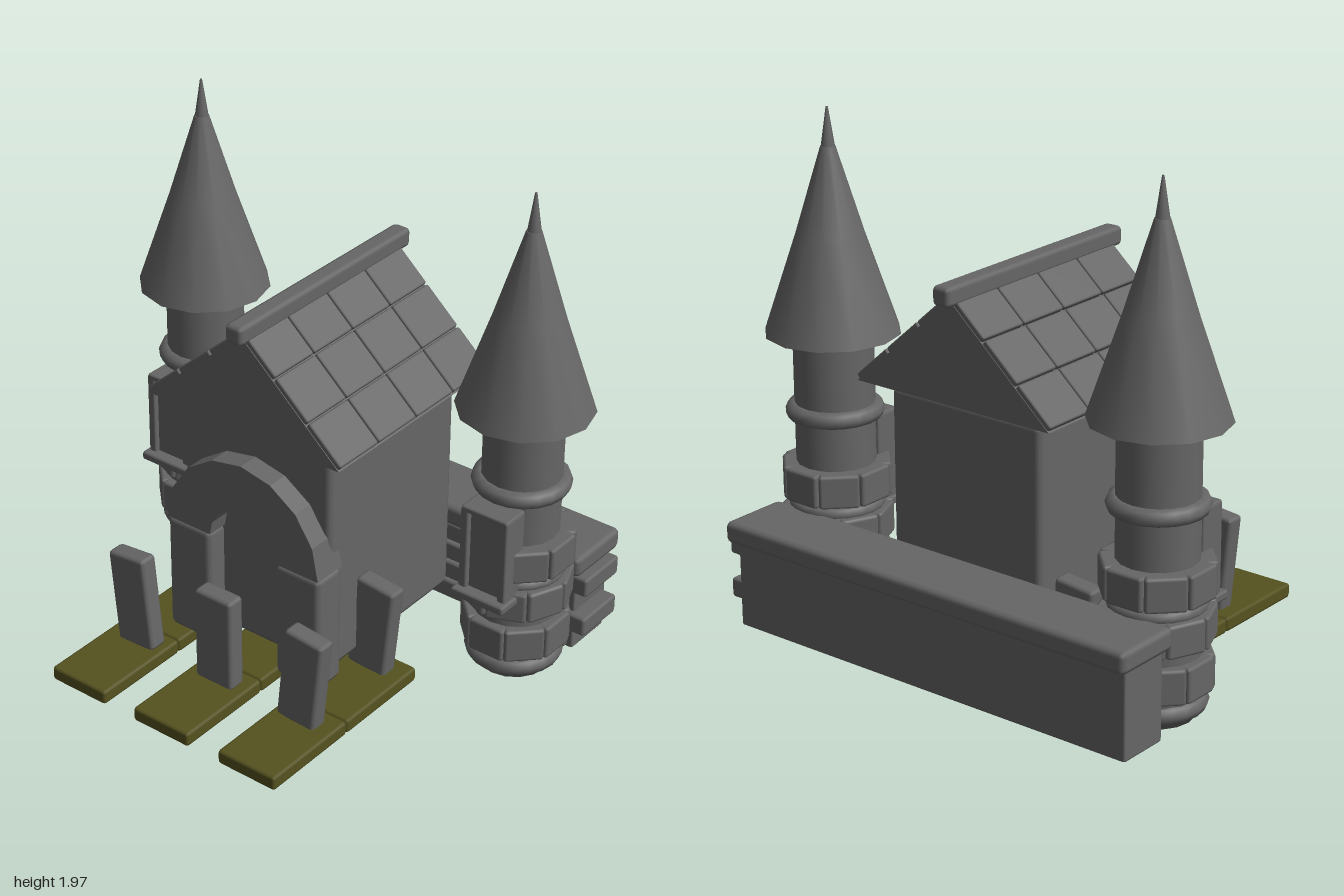
import * as THREE from 'three';
import { RoundedBoxGeometry } from 'three/addons/geometries/RoundedBoxGeometry.js';
import { toCreasedNormals } from 'three/addons/utils/BufferGeometryUtils.js';

const stone = new THREE.MeshStandardMaterial({ color: 0x666666 });
stone.name = 'grey stone';
const moss = new THREE.MeshStandardMaterial({ color: 0x55521f });
moss.name = 'olive ground';

function add(parent, name, geometry, x = 0, y = 0, z = 0, material = stone) {
  const mesh = new THREE.Mesh(geometry, material);
  mesh.name = name;
  mesh.position.set(x, y, z);
  parent.add(mesh);
  return mesh;
}

// Bevelled block given by its limits
function block(parent, name, x0, x1, y0, y1, z0, z1, bevel = 0.012, material = stone) {
  const g = new RoundedBoxGeometry(x1 - x0, y1 - y0, z1 - z0, 1, bevel);
  return add(parent, name, g, (x0 + x1) / 2, (y0 + y1) / 2, (z0 + z1) / 2, material);
}

function lathe(points, sides, crease = 0.6) {
  const g = new THREE.LatheGeometry(points.map(([r, y]) => new THREE.Vector2(r, y)), sides);
  return toCreasedNormals(g, crease);
}

function makeTower(x) {
  const tower = new THREE.Group();
  tower.name = 'tower';
  tower.position.set(x, 0, -0.37);

  add(tower, 'towerShaft', new THREE.CylinderGeometry(0.15, 0.15, 1.04, 16), 0, 0.6, 0);
  add(tower, 'towerFoot', lathe([[0, 0.03], [0.14, 0.03], [0.165, 0.06], [0.165, 0.34], [0, 0.34]], 16));

  // Pointed roof and its spire
  add(tower, 'towerRoof', lathe([[0, 1.12], [0.255, 1.12], [0.13, 1.49], [0.028, 1.82], [0, 1.82]], 12));
  add(tower, 'spire', new THREE.CylinderGeometry(0.004, 0.027, 0.155, 8), 0, 1.888, 0);

  // Round mouldings
  for (const [r, y, t] of [[0.152, 0.82, 0.033], [0.155, 0.455, 0.026], [0.15, 0.09, 0.036]]) {
    const ring = add(tower, 'moulding', new THREE.TorusGeometry(r, t, 8, 20), 0, y, 0);
    ring.rotation.x = Math.PI / 2;
  }

  // Rings of stone blocks
  [[0.2, 0.14, 0.275], [0.205, 0.32, 0.445], [0.205, 0.49, 0.62]].forEach(([r, y0, y1], row) => {
    for (let i = 0; i < 8; i++) {
      const a = (i + (row % 2) / 2) * Math.PI / 4;
      const g = new RoundedBoxGeometry(0.15, y1 - y0, 0.08, 1, 0.012);
      const b = add(tower, 'ringBlock', g, Math.sin(a) * (r - 0.045), (y0 + y1) / 2, Math.cos(a) * (r - 0.045));
      b.rotation.y = a;
    }
  });

  // Window
  block(tower, 'windowPane', -0.07, 0.07, 0.43, 0.77, 0.12, 0.215, 0.005);
  for (const s of [-1, 1]) {
    block(tower, 'windowPost', s * 0.085 - 0.017, s * 0.085 + 0.017, 0.43, 0.775, 0.12, 0.235, 0.008);
  }
  block(tower, 'windowLintel', -0.1, 0.1, 0.755, 0.78, 0.12, 0.235, 0.008);
  block(tower, 'windowSill', -0.115, 0.115, 0.4, 0.435, 0.12, 0.265, 0.01);
  return tower;
}

function makeHouse() {
  const house = new THREE.Group();
  house.name = 'house';
  block(house, 'houseBody', -0.34, 0.34, 0.115, 1.035, -0.51, 0.235, 0.025);

  // Gable prism
  const tri = new THREE.Shape();
  tri.moveTo(-0.435, 1.055);
  tri.lineTo(0.435, 1.055);
  tri.lineTo(0, 1.44);
  add(house, 'gable', new THREE.ExtrudeGeometry(tri, { depth: 0.89, bevelEnabled: false }), 0, 0, -0.58);

  // Roof slabs, three rows of four on each slope
  const slope = Math.atan2(0.385, 0.435);
  for (const s of [-1, 1]) {
    for (let row = 0; row < 3; row++) {
      for (let col = 0; col < 4; col++) {
        const t = (row + 0.5) / 3;
        const g = new RoundedBoxGeometry(0.188, 0.03, 0.217, 1, 0.007);
        const slab = add(house, 'roofSlab', g, s * (0.435 * (1 - t)), 1.062 + 0.385 * t, -0.469 + col * 0.2225);
        slab.rotation.z = -s * slope;
      }
    }
  }
  block(house, 'roofRidge', -0.038, 0.038, 1.425, 1.5, -0.63, 0.355, 0.018);

  // Doorway: two pillars and an arch
  for (const s of [-1, 1]) {
    block(house, 'doorPillar', s * 0.255 - 0.1, s * 0.255 + 0.1, 0.075, 0.56, 0.18, 0.32, 0.022);
  }
  const arch = new THREE.Shape();
  arch.absarc(0, 0, 0.353, 0, Math.PI, false);
  arch.absarc(0, 0, 0.15, Math.PI, 0, true);
  const archGeo = new THREE.ExtrudeGeometry(arch, { depth: 0.14, bevelEnabled: false, curveSegments: 4 });
  add(house, 'doorArch', archGeo, 0, 0.56, 0.18);
  return house;
}

function makeWall() {
  const wall = new THREE.Group();
  wall.name = 'rearWall';
  block(wall, 'wallCore', -0.895, 0.895, 0.03, 0.4, -0.75, -0.54, 0.008);
  block(wall, 'wallCap', -0.92, 0.92, 0.37, 0.455, -0.795, -0.51, 0.022);

  // Staggered courses of stones
  for (let row = 0; row < 4; row++) {
    const shift = row % 2 ? 0.085 : 0;
    for (let i = 0; i < 8; i++) {
      const x = -0.88 + shift + i * 0.22;
      const y = 0.035 + row * 0.088;
      block(wall, 'wallStone', x, x + 0.212, y, y + 0.078, -0.735, -0.515, 0.012);
    }
  }
  return wall;
}

// Rows of ground slabs, each with an upright headstone
function makeGraves() {
  const graves = new THREE.Group();
  graves.name = 'graves';
  [[-0.4, 3, 0.1], [0, 2, 0], [0.4, 2, -0.1]].forEach(([x, count, tilt]) => {
    for (let i = 0; i < count; i++) {
      const front = 0.79 - i * 0.42;
      block(graves, 'groundSlab', x - 0.13, x + 0.13, 0, 0.058, front - 0.42, front, 0.012, moss);
      const post = block(graves, 'headstone', x - 0.085, x + 0.085, 0.05, 0.44, front - 0.375, front - 0.298, 0.015);
      post.rotation.z = tilt;
    }
  });
  return graves;
}

export function createModel() {
  const model = new THREE.Group();
  model.name = 'castle';
  model.add(makeTower(-0.745), makeTower(0.745), makeHouse(), makeWall(), makeGraves());
  return model;
}
